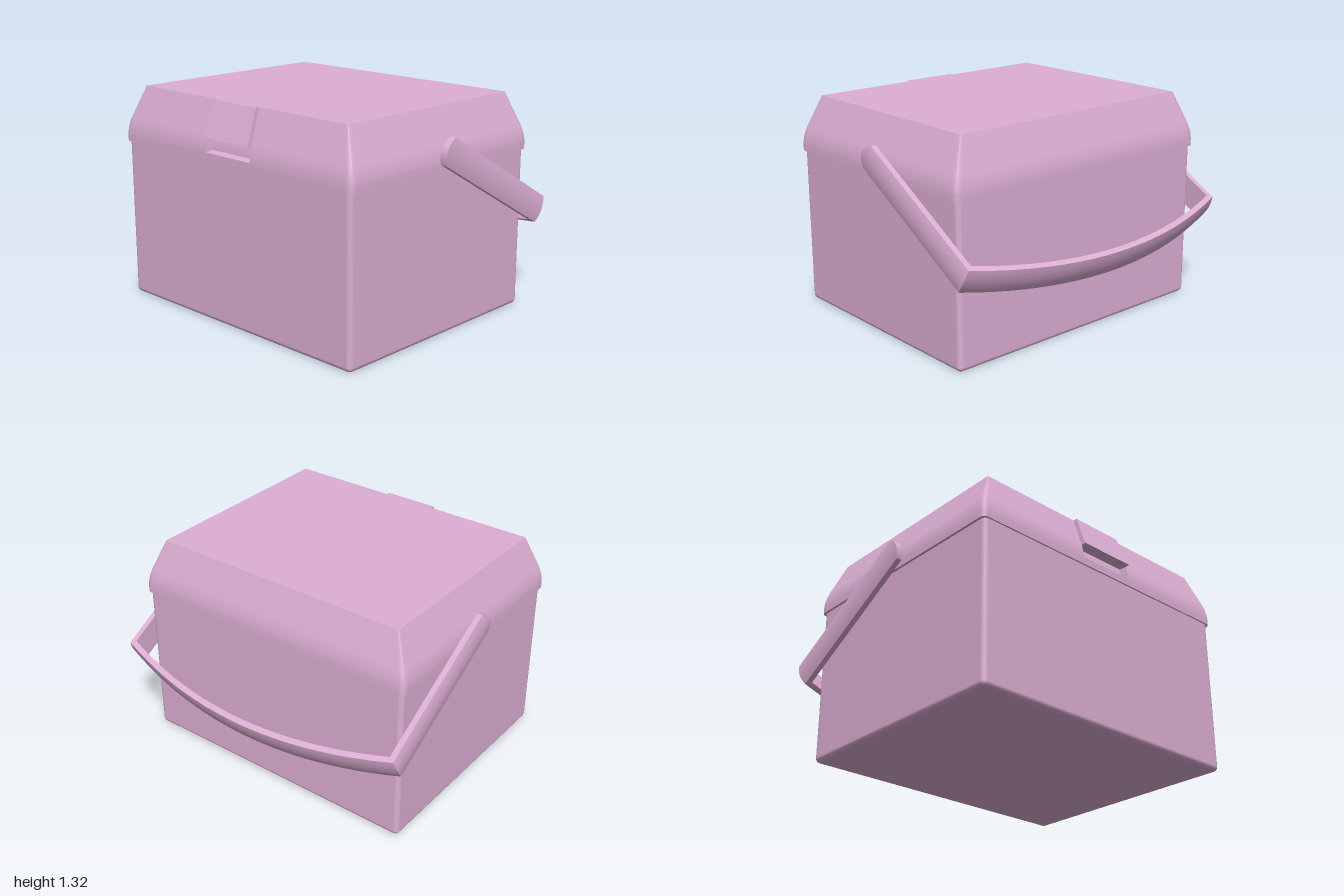
import * as THREE from 'three';
import { toCreasedNormals } from 'three/addons/utils/BufferGeometryUtils.js';
import { RoundedBoxGeometry } from 'three/addons/geometries/RoundedBoxGeometry.js';

const CENTRE_Z = 0.1475;

// Skin a list of closed rings and close both ends with strips.
function loft(rings) {
  const n = rings[0].length, index = [];
  for (let i = 0; i < rings.length - 1; i++) {
    for (let j = 0; j < n; j++) {
      const k = (j + 1) % n, a = i * n, b = a + n;
      index.push(a + j, a + k, b + k, a + j, b + k, b + j);
    }
  }
  const end = (rings.length - 1) * n;
  for (let j = 0; j < n / 2 - 1; j++) {
    const p = j, q = j + 1, r = n - 2 - j, s = n - 1 - j;
    index.push(r, q, p, s, r, p);
    index.push(end + p, end + q, end + r, end + p, end + r, end + s);
  }
  const g = new THREE.BufferGeometry();
  g.setAttribute('position', new THREE.Float32BufferAttribute(rings.flat(2), 3));
  g.setIndex(index);
  return toCreasedNormals(g, 0.5);
}

// One horizontal lid ring: rounded rectangle with a thumb recess at the front.
function lidRing(inset, y, r) {
  const hx = 0.945 - inset, hz = 0.7575 - inset * 0.85;
  const recess = y > 1.025 && y < 1.107 ? 0.04 : 0;
  const ring = [-0.186, -0.178, 0.178, 0.186].map(x =>
    [x, y, CENTRE_Z + hz - (Math.abs(x) < 0.18 ? recess : 0)]);
  for (let c = 0; c < 4; c++) {
    const cx = (c < 2 ? 1 : -1) * (hx - r), cz = (c % 3 === 0 ? 1 : -1) * (hz - r);
    for (let i = -1; i <= 5; i++) {
      // the first and last points support the flat sides beside the corner
      const t = (c + THREE.MathUtils.clamp(i / 4, 0, 1)) * Math.PI / 2;
      const s = i < 0 ? -0.02 : i > 4 ? 0.02 : 0;
      const e = i < 0 ? c * Math.PI / 2 : (c + 1) * Math.PI / 2;
      ring.push([cx + r * Math.sin(t) + s * Math.cos(e), y,
        CENTRE_Z + cz + r * Math.cos(t) - s * Math.sin(e)]);
    }
  }
  return ring;
}

function lidGeometry() {
  const profile = [
    [0.018, 0.975, 0.02], [0, 0.975, 0.03], [0, 1.02, 0.03], [0.001, 1.03, 0.03],
    [0.005, 1.06, 0.028], [0.013, 1.09, 0.025], [0.018, 1.104, 0.023],
    [0.02, 1.11, 0.022], [0.024, 1.12, 0.02], [0.105, 1.315, 0.004],
  ];
  return loft(profile.map(p => lidRing(...p)));
}

// Strap handle: a bowed section swept down one arm, across the grip and back.
function handleGeometry() {
  const h = 0.084, path = [[-0.944, 0]];
  for (let i = 0; i <= 28; i++) {
    const t = i / 14 - 1;
    path.push([0.953 * t, 0.972 + 0.162 * (1 - t * t)]);
  }
  path.push([0.944, 0]);
  const normal = (a, b) => new THREE.Vector2(a[1] - b[1], b[0] - a[0]).normalize();
  const steps = [-1, -0.75, -0.4, 0, 0.4, 0.75, 1];
  const section = [
    ...steps.map(s => [0.046 - 0.012 * s * s, s]),
    ...steps.map(s => [0, -s]),
  ];
  const last = path.length - 1;
  const rings = path.map((p, i) => {
    const n1 = normal(path[Math.max(i - 1, 0)], path[Math.max(i, 1)]);
    const n2 = normal(path[Math.min(i, last - 1)], path[Math.min(i + 1, last)]);
    const m = n1.clone().add(n2).divideScalar(1 + n1.dot(n2));
    const tip = i === 0 || i === last ? 0.042 : 0;
    return section.map(([w, s]) =>
      [p[0] + m.x * w, s * h, -(p[1] + m.y * w - tip * (1 - s * s))]);
  });
  return loft(rings);
}

// Latch plate lying on the front slope, slightly wider at its lower edge.
function latchGeometry() {
  const side = new THREE.Shape([[0.815, 1.315], [0.84, 1.315], [0.918, 1.11], [0.87, 1.105]]
    .reverse().map(([z, y]) => new THREE.Vector2(z, y)));
  const g = new THREE.ExtrudeGeometry(side, { depth: 2, bevelEnabled: false });
  g.translate(0, 0, -1).rotateY(-Math.PI / 2);
  const pos = g.attributes.position;
  for (let i = 0; i < pos.count; i++) {
    const width = THREE.MathUtils.mapLinear(pos.getY(i), 1.315, 1.105, 0.17, 0.186);
    pos.setX(i, pos.getX(i) * width);
  }
  g.computeVertexNormals();
  return g;
}

export function createModel() {
  const model = new THREE.Group();
  model.name = 'coolBox';
  const material = new THREE.MeshStandardMaterial({ color: 0xdcaed3 });
  const add = (name, geometry) => {
    const mesh = new THREE.Mesh(geometry, material);
    mesh.name = name;
    model.add(mesh);
    return mesh;
  };

  // Container and lid
  const body = add('body', new RoundedBoxGeometry(1.86, 1.02, 1.495, 4, 0.03));
  body.position.set(0, 0.51, CENTRE_Z);
  add('lid', lidGeometry());
  add('latch', latchGeometry());

  // Carrying handle, swung to the back
  const handle = add('handle', handleGeometry());
  handle.rotation.x = -Math.PI / 6;
  handle.position.set(0, 1.085, 0.15);

  // Pivot pins
  for (const s of [1, -1]) {
    const pin = add(s > 0 ? 'leftPivot' : 'rightPivot',
      new THREE.CylinderGeometry(0.025, 0.025, 0.06, 16));
    pin.rotation.z = Math.PI / 2;
    pin.position.set(s * 0.93, 1.085, 0.145);
  }
  return model;
}
